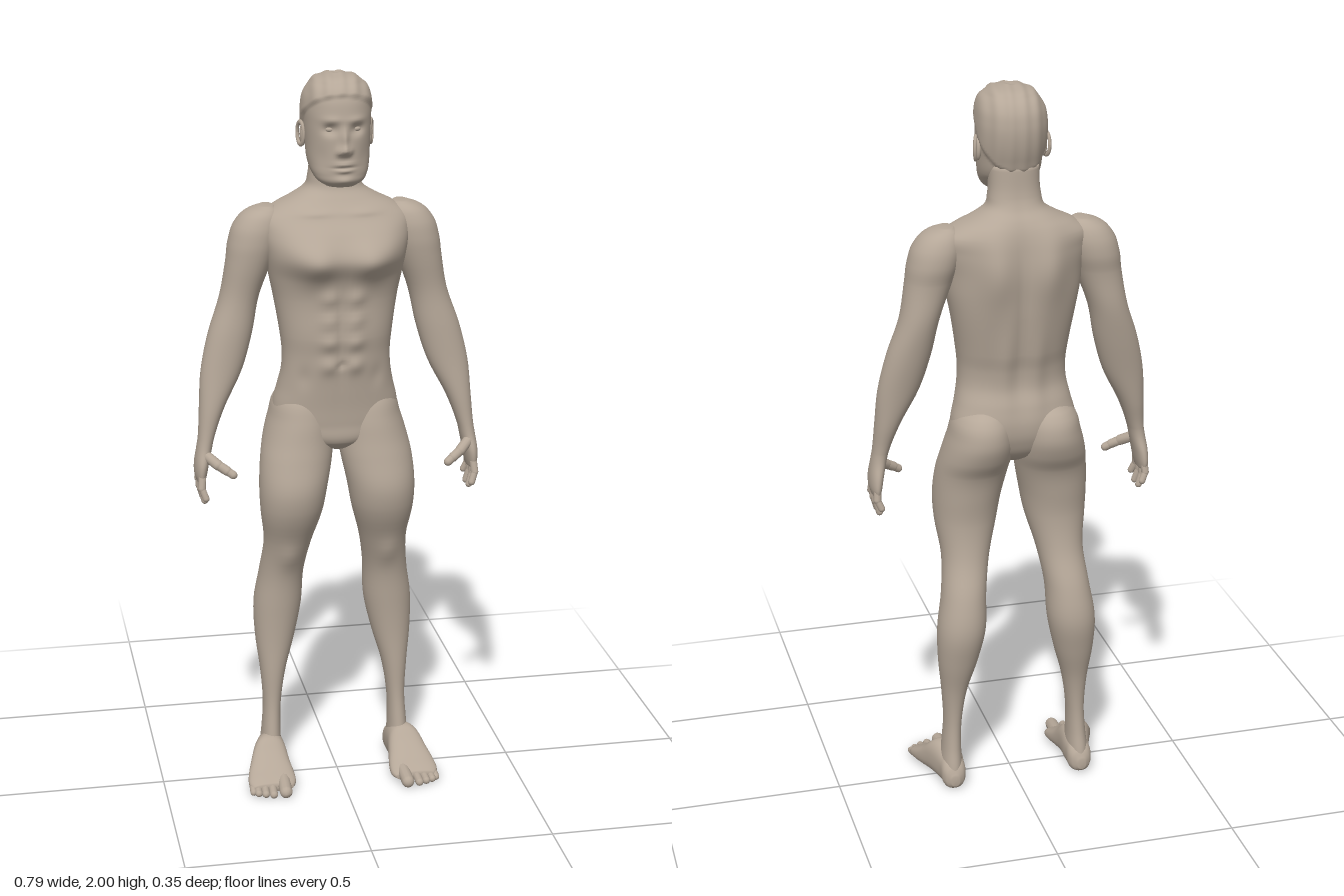
import * as THREE from 'three';
import { mergeGeometries } from 'three/addons/utils/BufferGeometryUtils.js';

const skin = new THREE.MeshStandardMaterial({ color: 0xb5a798 });
skin.name = 'skin';

// Turns all faces outward (by signed volume) and smooths the normals
function finish(geo) {
  const p = geo.attributes.position, ix = geo.index.array;
  const a = new THREE.Vector3(), b = new THREE.Vector3(), c = new THREE.Vector3();
  let volume = 0;
  for (let i = 0; i < ix.length; i += 3) {
    a.fromBufferAttribute(p, ix[i]);
    b.fromBufferAttribute(p, ix[i + 1]);
    c.fromBufferAttribute(p, ix[i + 2]);
    volume += a.dot(b.cross(c));
  }
  if (volume < 0) for (let i = 0; i < ix.length; i += 3) [ix[i], ix[i + 1]] = [ix[i + 1], ix[i]];
  geo.computeVertexNormals();
  return geo;
}

// Closed loft through rows of [level, xMin, xMax, front, back]; sculpt may move each point
function loft(rows, { n = 40, sub = 5, power = 2.1, sculpt = null, alongZ = false } = {}) {
  rows = [...rows].sort((a, b) => a[0] - b[0]);
  const curve = new THREE.CubicInterpolant(rows.map(r => r[0]), rows.flatMap(r => r.slice(1)), 4);
  const levels = rows.slice(1).flatMap((r, i) =>
    Array.from({ length: sub }, (_, k) => THREE.MathUtils.lerp(rows[i][0], r[0], k / sub)));
  levels.push(rows.at(-1)[0]);
  const pos = [], index = [], p = new THREE.Vector3();
  const put = () => alongZ ? pos.push(p.x, p.z, p.y) : pos.push(p.x, p.y, p.z);
  const curl = v => Math.sign(v) * Math.abs(v) ** (2 / power);
  const centres = [];
  levels.forEach((y, j) => {
    const [x0, x1, f, b] = curve.evaluate(y);
    centres.push([(x0 + x1) / 2, y, (f + b) / 2]);
    for (let i = 0; i < n; i++) {
      const t = i / n * Math.PI * 2, s = Math.sin(t);
      p.set((x0 + x1) / 2 + (x1 - x0) / 2 * curl(Math.cos(t)), y, (f + b) / 2 + (f - b) / 2 * curl(s));
      if (sculpt) sculpt(p, s);
      put();
      if (j) {
        const q = j * n + i, r = j * n + (i + 1) % n;
        index.push(q - n, q, r - n, q, r, r - n);
      }
    }
  });
  const last = levels.length - 1, base = levels.length * n;
  for (const j of [0, last]) { p.set(...centres[j]); put(); }
  for (let i = 0; i < n; i++) {
    const k = (i + 1) % n;
    index.push(base, i, k, base + 1, last * n + k, last * n + i);
  }
  const geo = new THREE.BufferGeometry();
  geo.setAttribute('position', new THREE.Float32BufferAttribute(pos, 3));
  geo.setIndex(index);
  return finish(geo);
}

const sym = rows => rows.map(([y, w, f, b]) => [y, -w, w, f, b]);

// Muscle and face relief: mirrored bumps of [x, y, width, height, amount]
function relief(front, back) {
  return (p, s) => {
    let d = 0;
    for (const [x, y, w, h, amount] of s > 0 ? front : back) {
      const fall = Math.exp(-(((p.y - y) / h) ** 2));
      const g = u => Math.exp(-(((p.x - u) / w) ** 2));
      d += amount * fall * (x ? g(x) + g(-x) : g(0));
    }
    p.z += d * s;
  };
}

function ellipsoid(at, size) {
  return new THREE.SphereGeometry(1, 20, 14).scale(...size).translate(...at);
}

// Chain of capsules through points
function digit(points, radius) {
  const up = new THREE.Vector3(0, 1, 0);
  return mergeGeometries(points.slice(1).map((q, i) => {
    const a = new THREE.Vector3(...points[i]), b = new THREE.Vector3(...q), d = b.clone().sub(a);
    const geo = new THREE.CapsuleGeometry(radius * (1 - 0.1 * i), d.length(), 5, 12);
    geo.applyQuaternion(new THREE.Quaternion().setFromUnitVectors(up, d.normalize()));
    return geo.translate(...a.add(b).multiplyScalar(0.5).toArray());
  }));
}

export function createModel() {
  const model = new THREE.Group();
  model.name = 'standingFigure';
  const add = (name, geo) => {
    const mesh = new THREE.Mesh(geo, skin);
    mesh.name = name;
    model.add(mesh);
  };
  const pair = (name, geo) => {
    add(name + 'Left', geo);
    add(name + 'Right', finish(geo.clone().scale(-1, 1, 1)));
  };

  // Torso and neck with chest, abdomen, shoulder blades and spine
  const abs = [1.41, 1.35, 1.29, 1.225].map(y => [0.036, y, 0.024, 0.024, 0.011]);
  add('torso', loft(sym([
    [0.975, 0.03, 0.03, -0.06], [1.0, 0.11, 0.055, -0.1], [1.05, 0.17, 0.06, -0.13],
    [1.1, 0.171, 0.064, -0.138], [1.15, 0.159, 0.07, -0.13], [1.2, 0.149, 0.076, -0.115],
    [1.25, 0.147, 0.08, -0.117], [1.3, 0.152, 0.087, -0.13], [1.4, 0.168, 0.086, -0.148],
    [1.46, 0.18, 0.095, -0.153], [1.52, 0.19, 0.112, -0.155], [1.58, 0.2, 0.09, -0.152],
    [1.62, 0.195, 0.062, -0.148], [1.645, 0.16, 0.045, -0.142], [1.665, 0.118, 0.03, -0.133],
    [1.69, 0.08, 0.014, -0.117], [1.72, 0.07, 0.01, -0.106], [1.8, 0.066, 0.02, -0.1],
  ]), {
    n: 96, sub: 7, power: 2.3,
    sculpt: relief(
      [[0.075, 1.515, 0.055, 0.055, 0.034], [0.135, 1.54, 0.04, 0.05, 0.012], ...abs,
        [0, 1.32, 0.01, 0.13, -0.006], [0, 1.225, 0.009, 0.01, -0.008],
        [0.1, 1.19, 0.02, 0.03, -0.006], [0.07, 1.635, 0.05, 0.01, 0.006]],
      [[0.075, 1.54, 0.05, 0.1, 0.025], [0.045, 1.25, 0.025, 0.12, 0.01], [0, 1.42, 0.015, 0.2, -0.008]]),
  }));

  // Head: face relief, then a raised, combed hair cap
  const face = relief([
    [0, 1.812, 0.014, 0.013, 0.02], [0, 1.84, 0.009, 0.026, 0.014], [0.014, 1.807, 0.008, 0.008, 0.008],
    [0.036, 1.864, 0.018, 0.013, -0.014], [0.034, 1.889, 0.026, 0.009, 0.005],
    [0, 1.774, 0.024, 0.006, 0.008], [0, 1.758, 0.02, 0.006, 0.008], [0, 1.766, 0.026, 0.003, -0.005],
    [0, 1.732, 0.026, 0.013, 0.009], [0.06, 1.79, 0.02, 0.03, -0.005],
  ], []);
  add('head', loft(sym([
    [1.712, 0.04, 0.088, 0.0], [1.725, 0.06, 0.102, -0.015], [1.745, 0.073, 0.106, -0.045],
    [1.77, 0.08, 0.107, -0.08], [1.82, 0.084, 0.107, -0.102], [1.87, 0.087, 0.107, -0.114],
    [1.91, 0.087, 0.105, -0.115], [1.945, 0.081, 0.097, -0.106], [1.97, 0.066, 0.079, -0.086],
    [1.985, 0.045, 0.054, -0.06], [1.993, 0.012, 0.015, -0.02],
  ]), {
    n: 96, sub: 8, power: 2.25,
    sculpt: (p, s) => {
      face(p, s);
      const line = p.z > 0 ? 1.885 + p.z * 0.6 : 1.885 + p.z * 1.1;
      const hair = THREE.MathUtils.smoothstep(p.y, line, line + 0.012);
      const out = p.clone().sub(new THREE.Vector3(0, 1.87, -0.005)).normalize();
      p.addScaledVector(out, hair * (0.0065 + 0.0015 * Math.sin(p.x * 190 + p.z * 25)));
    },
  }));
  pair('eye', ellipsoid([0.034, 1.864, 0.08], [0.014, 0.009, 0.013]));
  pair('ear', mergeGeometries([
    ellipsoid([0.088, 1.835, -0.015], [0.009, 0.03, 0.017]),
    new THREE.TorusGeometry(0.021, 0.005, 8, 24).scale(0.85, 1.4, 1)
      .rotateY(Math.PI / 2 - 0.35).translate(0.094, 1.838, -0.017),
  ]));

  // Arms from shoulder to palm
  pair('arm', loft([
    [1.645, 0.165, 0.2, -0.02, -0.075], [1.635, 0.15, 0.23, 0.0, -0.092], [1.605, 0.14, 0.265, 0.02, -0.112],
    [1.55, 0.15, 0.286, 0.028, -0.12], [1.5, 0.168, 0.293, 0.024, -0.112], [1.4, 0.205, 0.311, 0.01, -0.108],
    [1.3, 0.226, 0.345, 0.014, -0.092], [1.2, 0.257, 0.368, 0.018, -0.072], [1.1, 0.308, 0.376, 0.026, -0.054],
    [1.02, 0.338, 0.382, 0.03, -0.037], [0.99, 0.345, 0.387, 0.034, -0.038], [0.95, 0.354, 0.393, 0.045, -0.049],
    [0.92, 0.36, 0.393, 0.044, -0.052], [0.9, 0.365, 0.388, 0.038, -0.048],
  ], { n: 36 }));

  // Fingers and thumb
  const fingers = [[0.034, 0.05, 0.862], [0.011, 0.018, 0.846], [-0.014, -0.018, 0.846], [-0.038, -0.048, 0.868]];
  pair('fingers', mergeGeometries(fingers.map(([z, tip, y]) =>
    digit([[0.377, 0.915, z], [0.379, (0.915 + y) / 2, (z + tip) / 2], [0.369, y, tip]], 0.0105))));
  pair('thumb', digit([[0.362, 0.975, 0.025], [0.335, 0.956, 0.05], [0.312, 0.942, 0.062], [0.297, 0.932, 0.068]], 0.0145));

  // Legs with buttock, thigh, knee and calf
  pair('leg', loft([
    [1.15, 0.06, 0.12, 0.02, -0.1], [1.12, 0.025, 0.16, 0.045, -0.142], [1.06, 0.008, 0.182, 0.064, -0.161],
    [1.0, 0.007, 0.199, 0.075, -0.145], [0.95, 0.013, 0.209, 0.086, -0.117], [0.87, 0.029, 0.215, 0.1, -0.099],
    [0.8, 0.042, 0.212, 0.088, -0.091], [0.7, 0.069, 0.2, 0.042, -0.102], [0.6, 0.086, 0.209, 0.008, -0.135],
    [0.5, 0.091, 0.224, -0.004, -0.15], [0.4, 0.112, 0.222, -0.01, -0.13], [0.3, 0.14, 0.211, -0.01, -0.102],
    [0.2, 0.155, 0.205, -0.01, -0.09], [0.12, 0.157, 0.21, 0.0, -0.094], [0.06, 0.156, 0.215, 0.01, -0.105],
    [0.02, 0.16, 0.21, 0.01, -0.107],
  ], { n: 48, sculpt: relief([[0.138, 0.665, 0.03, 0.035, 0.008]], []) }));

  // Feet: rows run from heel to ball, with top and sole heights
  pair('foot', loft([
    [-0.112, 0.175, 0.198, 0.045, 0.015], [-0.1, 0.158, 0.214, 0.07, 0.004], [-0.06, 0.15, 0.222, 0.1, 0],
    [0.0, 0.148, 0.242, 0.115, 0], [0.04, 0.143, 0.257, 0.083, 0], [0.08, 0.137, 0.268, 0.056, 0],
    [0.11, 0.138, 0.269, 0.04, 0], [0.13, 0.148, 0.258, 0.028, 0.006],
  ], { n: 36, power: 2.4, alongZ: true }));
  const toes = [[0.172, 0.178, 0.018], [0.206, 0.169, 0.0115], [0.227, 0.161, 0.011], [0.246, 0.152, 0.0105], [0.259, 0.141, 0.01]];
  pair('toes', mergeGeometries(toes.map(([x, tip, r]) =>
    digit([[x, r + 0.008, 0.1], [x + 0.002, r, tip - r]], r))));

  return model;
}
